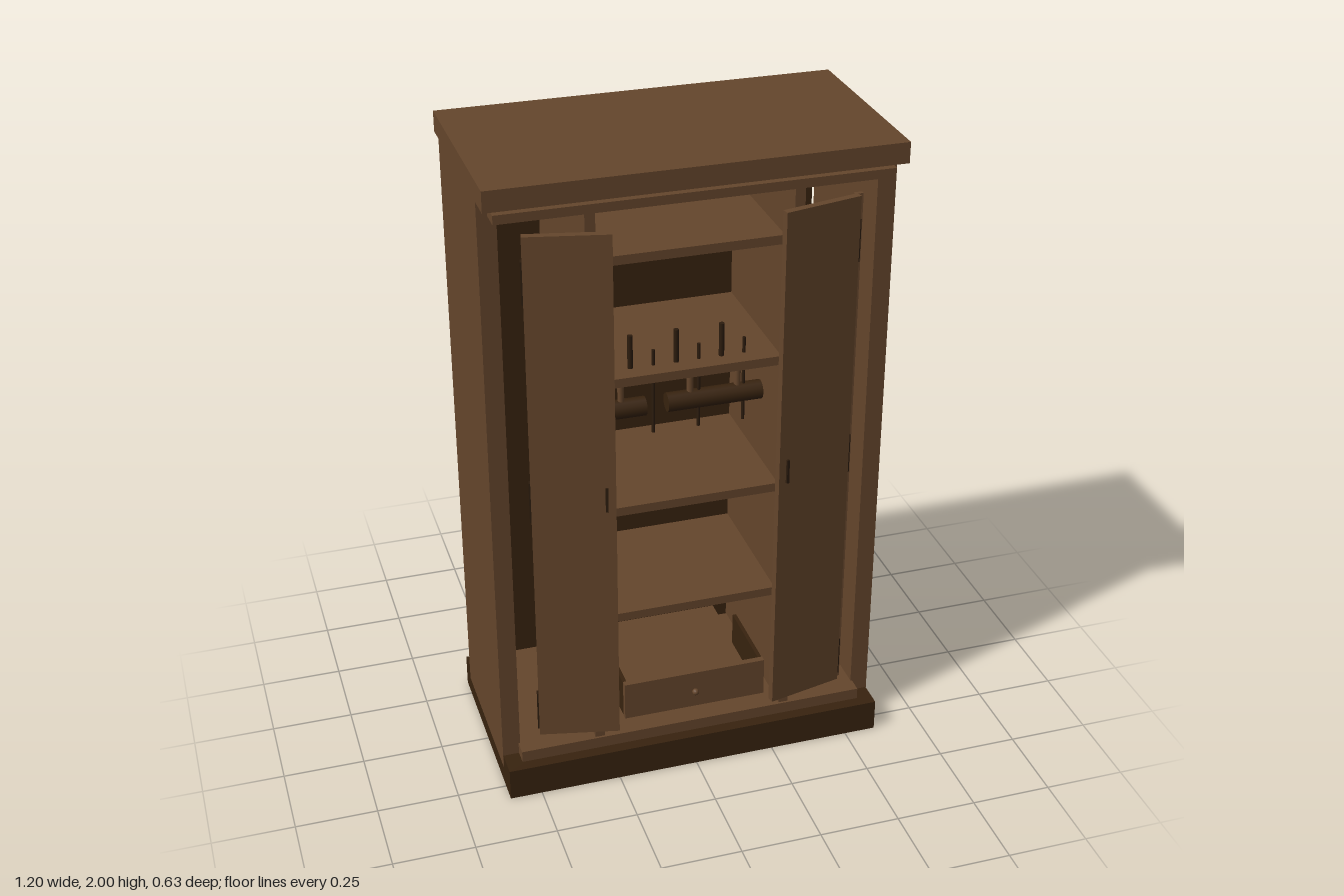
import * as THREE from 'three';

const mat = (name, color) => {
  const m = new THREE.MeshStandardMaterial({ color });
  m.name = name;
  return m;
};

export function createModel() {
  const wood = mat('brown wood', 0x65462c);
  const dark = mat('dark wood', 0x38230f);
  const iron = mat('dark iron', 0x2c1c0e);
  const model = new THREE.Group();
  model.name = 'wardrobe';

  // Box given by its extents on each axis
  const box = (name, material, [x0, x1], [y0, y1], [z0, z1], parent = model) => {
    const m = new THREE.Mesh(new THREE.BoxGeometry(x1 - x0, y1 - y0, z1 - z0), material);
    m.position.set((x0 + x1) / 2, (y0 + y1) / 2, (z0 + z1) / 2);
    m.name = name;
    parent.add(m);
    return m;
  };
  const rod = (name, material, r, x, y0, y1, z) => {
    const m = new THREE.Mesh(new THREE.CylinderGeometry(r, r, y1 - y0, 10), material);
    m.position.set(x, (y0 + y1) / 2, z);
    m.name = name;
    model.add(m);
  };

  // Carcass
  box('plinth', dark, [-0.599, 0.599], [0, 0.103], [-0.313, 0.313]);
  box('topBoard', wood, [-0.6, 0.6], [1.938, 2], [-0.313, 0.313]);
  box('topMoulding', wood, [-0.57, 0.57], [1.895, 1.922], [-0.297, 0.297]);
  box('floorBoard', wood, [-0.55, 0.55], [0.1, 0.14], [-0.25, 0.277]);
  box('backPanel', dark, [-0.54, 0.54], [0.1, 1.9], [-0.281, -0.255]);
  for (const s of [-1, 1]) {
    const span = (a, b) => (s > 0 ? [a, b] : [-b, -a]);
    box('sidePanel', wood, span(0.545, 0.6), [0.06, 1.94], [-0.252, 0.23]);
    box('divider', wood, span(0.285, 0.315), [0.14, 1.9], [-0.255, 0.27]);
  }

  // Shelves
  for (const y of [0.505, 0.88, 1.308, 1.69]) {
    box('shelf', wood, [-0.285, 0.285], [y, y + 0.028], [-0.255, 0.2]);
  }

  // Doors standing slightly ajar, hinged at their outer edges
  for (const s of [-1, 1]) {
    const door = new THREE.Group();
    door.name = s > 0 ? 'leftDoor' : 'rightDoor';
    door.position.set(s * 0.485, 0, 0.245);
    door.rotation.y = s * 0.22;
    const span = (a, b) => (s > 0 ? [a, b] : [-b, -a]);
    box('doorLeaf', wood, span(-0.245, 0), [0.178, 1.833], [-0.011, 0.011], door);
    box('doorHandle', iron, span(-0.222, -0.214), [0.97, 1.048], [0.01, 0.018], door);
    for (const y of [0.2, 0.94, 1.63]) {
      box('hinge', iron, span(-0.002, 0.005), [y, y + 0.13], [-0.009, 0.009], door);
    }
    model.add(door);
  }
  box('doorStop', wood, [0.475, 0.5], [0.178, 1.833], [0.226, 0.238]);

  // Drawer, pulled out a little
  const drawer = new THREE.Group();
  drawer.name = 'drawer';
  model.add(drawer);
  box('drawerFront', wood, [-0.225, 0.225], [0.205, 0.33], [0.27, 0.29], drawer);
  box('drawerBottom', wood, [-0.22, 0.22], [0.205, 0.217], [-0.2, 0.27], drawer);
  for (const x of [-0.225, 0.213]) {
    box('drawerSide', dark, [x, x + 0.012], [0.205, 0.325], [0.02, 0.27], drawer);
  }
  const knob = new THREE.Mesh(new THREE.SphereGeometry(0.011, 12, 8), wood);
  knob.name = 'drawerKnob';
  knob.position.set(0, 0.262, 0.296);
  drawer.add(knob);

  // Row of alternating long and short rods through the rack shelf
  for (let i = 0; i < 7; i++) {
    const x = -0.225 + i * 0.069;
    if (i % 2) rod('tallRod', iron, 0.008, x, 1.285, 1.44, 0.143);
    else rod('lowRod', iron, 0.005, x, 1.115, 1.385, 0.143);
  }

  // Dark rounded blocks hanging below the rack shelf
  for (const x of [-0.185, 0.025, 0.17]) {
    rod('blockHanger', wood, 0.01, x, 1.23, 1.31, 0.143);
    const block = new THREE.Mesh(new THREE.CylinderGeometry(0.029, 0.029, 0.145, 12), dark);
    block.name = 'hangingBlock';
    block.rotation.z = Math.PI / 2;
    block.position.set(x, 1.207, 0.143);
    model.add(block);
  }
  return model;
}
